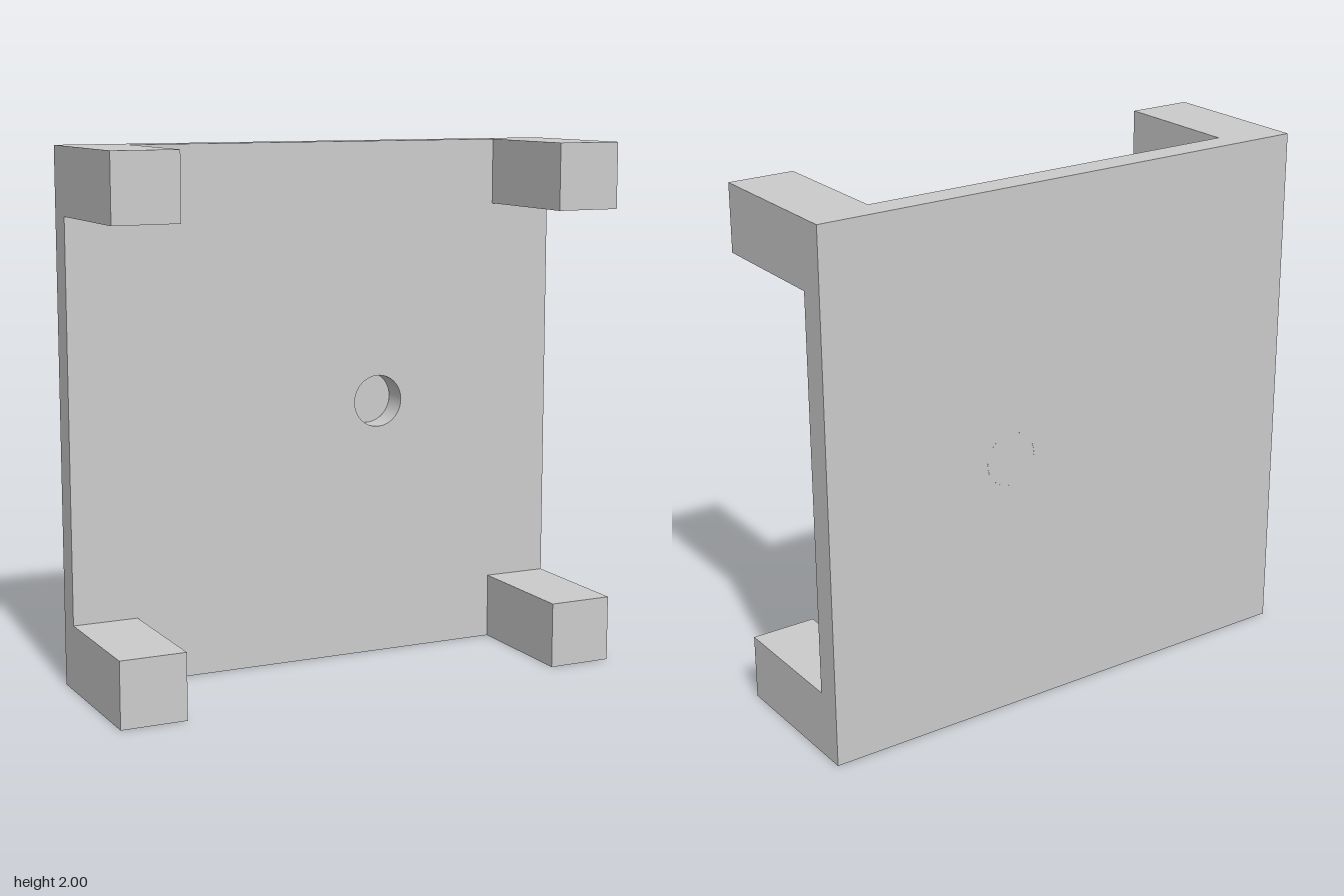
import * as THREE from 'three';

export function createModel() {
  const model = new THREE.Group();
  const material = new THREE.MeshStandardMaterial({ color: 0xcccccc });
  const add = (name, geometry, x, y, z, mat = material) => {
    const mesh = new THREE.Mesh(geometry, mat);
    mesh.name = name;
    mesh.position.set(x, y, z);
    model.add(mesh);
  };

  const back = -0.3, thickness = 0.1, post = 0.25, postLength = 0.5;
  const holeX = 0.25, holeY = 1, holeRadius = 0.1, segments = 48;

  // Square plate with an off-centre round recess
  const outline = new THREE.Shape([
    new THREE.Vector2(-1, 0), new THREE.Vector2(1, 0),
    new THREE.Vector2(1, 2), new THREE.Vector2(-1, 2),
  ]);
  outline.holes.push(new THREE.Path().absarc(holeX, holeY, holeRadius, 0, Math.PI * 2, true));
  add('plate', new THREE.ExtrudeGeometry(outline, {
    depth: thickness, bevelEnabled: false, curveSegments: segments,
  }), 0, 0, back);

  // Thin floor closing the recess, flush with the back of the plate
  const floorMaterial = material.clone();
  floorMaterial.side = THREE.DoubleSide;
  add('recessFloor', new THREE.CircleGeometry(holeRadius, segments), holeX, holeY, back, floorMaterial);

  // Four square posts at the corners, pointing forward
  const postGeometry = new THREE.BoxGeometry(post, post, postLength);
  for (const [side, sx] of [['Left', 1], ['Right', -1]]) {
    for (const [level, y] of [['lower', post / 2], ['upper', 2 - post / 2]]) {
      add(`${level}${side}Post`, postGeometry, sx * (1 - post / 2), y, back + thickness + postLength / 2);
    }
  }
  return model;
}
